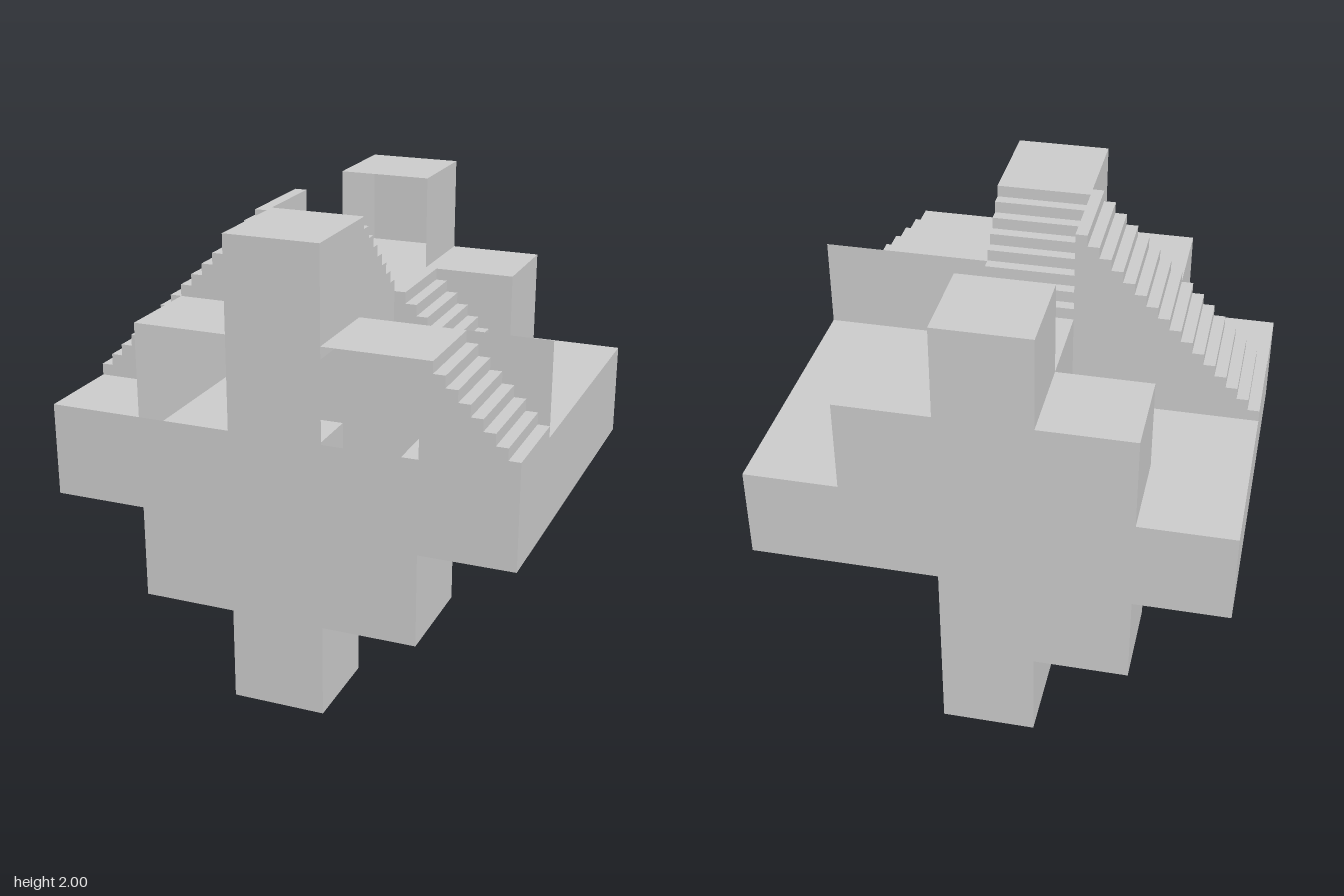
import * as THREE from 'three';
import { mergeGeometries } from 'three/addons/utils/BufferGeometryUtils.js';

const S = 0.4;      // module of the building grid
const STEPS = 8;    // steps per module
const material = new THREE.MeshStandardMaterial({ color: 0xcccccc, flatShading: true, side: THREE.DoubleSide });

const X = new THREE.Vector3(1, 0, 0);
const Y = new THREE.Vector3(0, 1, 0);
const Z = new THREE.Vector3(0, 0, 1);
const neg = (v) => v.clone().negate();
const DIRS = { 'x+': X, 'x-': neg(X), 'y+': Y, 'y-': neg(Y), 'z+': Z, 'z-': neg(Z) };

// Centre of a module: column i (x), level j (y), row k (z)
const centre = (i, j, k) => new THREE.Vector3((i - 2) * S, (j + 0.5) * S, (k - 1.5) * S);

// One wall panel on the given side of a module
function panel(i, j, k, side) {
  const d = DIRS[side];
  const g = new THREE.PlaneGeometry(S, S);
  g.applyQuaternion(new THREE.Quaternion().setFromUnitVectors(Z, d));
  const p = centre(i, j, k).addScaledVector(d, S / 2);
  return g.translate(p.x, p.y, p.z);
}

// Floor plans, one per level from the ground up: rows run back to front, # is a room
const LEVELS = [
  ['..#..', '..#..', '.....', '..#..'],
  ['.##..', '..#..', '..#..', '.###.'],
  ['#####', '#####', '#####', '#####'],
  ['.###.', '..#..', '.##..', '.###.'],
  ['..#..', '.....', '.....', '..#..'],
];
const NAMES = ['feet', 'lowerStorey', 'mainStorey', 'upperStorey', 'towers'];
const filled = (i, j, k) => LEVELS[j]?.[k]?.[i] === '#';

// Doorways: panels left open, as column,level,row,side
const OPENINGS = new Set(['1,3,3,z+', '3,3,3,z+', '2,4,0,z+']);

// Hollow shell of one level
function storey(j) {
  const parts = [];
  for (let k = 0; k < 4; k++) {
    for (let i = 0; i < 5; i++) {
      if (!filled(i, j, k)) continue;
      for (const [side, d] of Object.entries(DIRS)) {
        if (filled(i + d.x, j + d.y, k + d.z)) continue;
        if (OPENINGS.has([i, j, k, side].join())) continue;
        parts.push(panel(i, j, k, side));
      }
    }
  }
  return mergeGeometries(parts);
}

// Flight filling one module: climbs along "run" towards "rise", with profile cheeks
function flight(cell, run, rise, cheeks) {
  const t = S / STEPS;
  const h = S / 2;
  const parts = [];
  const outline = new THREE.Shape().moveTo(-h, -h);
  for (let n = 0; n < STEPS; n++) {
    const x = -h + n * t;
    const y = -h + (n + 1) * t;
    outline.lineTo(x, y).lineTo(x + t, y);
    parts.push(new THREE.PlaneGeometry(t, S).rotateX(-Math.PI / 2).translate(x + t / 2, y, 0));
    parts.push(new THREE.PlaneGeometry(S, t).rotateY(-Math.PI / 2).translate(x, y - t / 2, 0));
  }
  outline.lineTo(h, -h);
  for (const c of cheeks) parts.push(new THREE.ShapeGeometry(outline).translate(0, 0, c * h));
  const m = new THREE.Matrix4().makeBasis(run, rise, run.clone().cross(rise));
  return mergeGeometries(parts).applyMatrix4(m.setPosition(centre(...cell)));
}

export function createModel() {
  const model = new THREE.Group();
  const add = (name, geometry) => {
    const mesh = new THREE.Mesh(geometry, material);
    mesh.name = name;
    model.add(mesh);
  };

  // Storeys
  NAMES.forEach((name, j) => add(name, storey(j)));

  // Long stair in two flights, with the wall at its top
  add('longStairLower', flight([0, 3, 2], X, Y, [-1, 1]));
  add('longStairUpper', flight([1, 4, 2], X, Y, [-1, 1]));
  add('longStairEndWall', panel(1, 4, 2, 'x+'));

  // Short stairs
  add('towerStair', flight([2, 4, 2], Z, Y, [-1]));
  add('courtStair', flight([3, 3, 1], neg(X), Y, [-1]));
  add('frontStair', flight([4, 3, 3], neg(X), Y, [-1]));
  add('frontStairBackWall', panel(4, 3, 3, 'z-'));

  // Stair lying on its side under the main storey
  add('sidewaysStair', flight([3, 1, 2], Z, X, [-1]));

  // Floor of the open back tower
  add('backTowerFloor', panel(2, 4, 0, 'y-'));
  return model;
}
